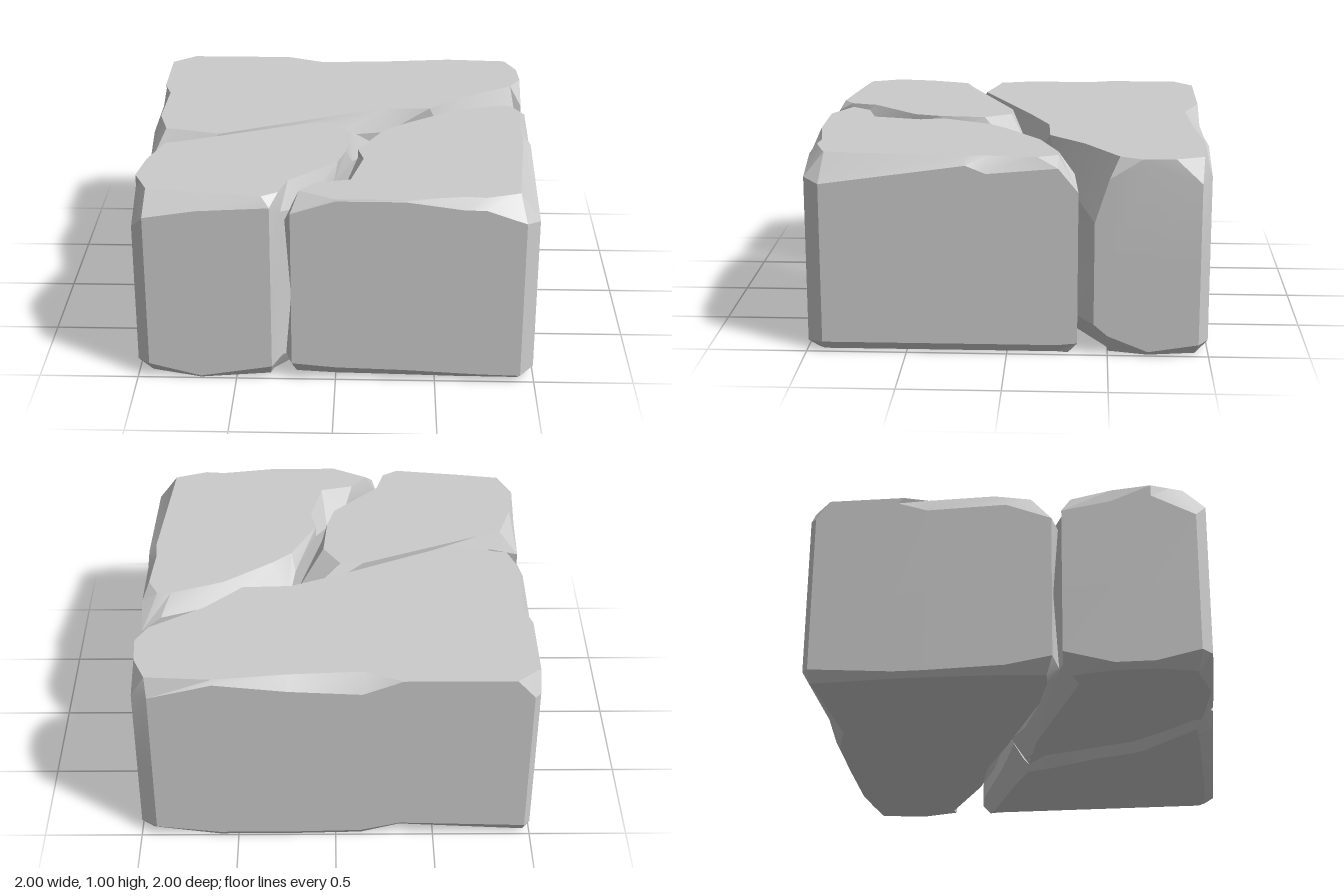
import * as THREE from 'three';
import { toCreasedNormals } from 'three/addons/utils/BufferGeometryUtils.js';

// Each corner: top x, top z, side x, side z, height where the top bevel starts,
// height where the bottom bevel ends, inset of the bottom outline.
// Corners run clockwise seen from above.
const BACK = [
  [-1, -.9, -1, -.97, .9, .06, .04],
  [-.88, -1, -.97, -1, .9, .06, .04],
  [-.33, -1, -.33, -1, .97, .08, .08],
  [-.13, -.92, -.13, -1, .92, .03, .02],
  [.24, -.94, .24, -1, .94, .02, .01],
  [.6, -.98, .6, -1, .98, .02, .01],
  [.93, -.96, .92, -1, .9, .06, .06],
  [.99, -.82, 1, -.95, .88, .06, .06],
  [1, -.66, 1, -.7, .97, .02, .02],
  [.94, -.55, 1, -.5, .9, .1, .07],
  [.67, -.38, 1, -.43, .68, .16, .12],
  [.48, -.2, .55, -.23, .85, .12, .08],
  [.23, -.19, .25, -.15, .88, .12, .08],
  [-.04, -.08, -.04, -.04, .9, .1, .06],
  [-.63, .19, -.6, .18, .94, .08, .05],
  [-.86, .13, -.84, .25, .86, .08, .06],
  [-.92, .12, -1, .23, .84, .08, .06],
  [-.97, -.06, -1, 0, .93, .04, .03],
  [-.96, -.4, -1, -.4, .92, .03, .02],
  [-1, -.52, -1, -.55, .97, .03, .02],
];

const LEFT = [
  [-.9, .32, -1, .28, .88, .1, .08],
  [-.78, .28, -.85, .27, .92, .1, .08],
  [-.15, .02, -.12, .01, .94, .08, .06],
  [-.03, .02, .2, -.1, .82, .15, .1],
  [.06, .16, .2, 0, .84, .12, .08],
  [.04, .4, .07, .35, .92, .08, .06],
  [0, .54, -.02, .6, .9, .07, .05],
  [-.24, .78, -.15, .78, .86, .08, .05],
  [-.28, .92, -.27, .93, .9, .1, .06],
  [-.36, .97, -.32, 1, .95, .07, .06],
  [-.7, .925, -.68, 1, .93, .012, .01],
  [-.93, .89, -.94, 1, .89, .08, .08],
  [-.96, .82, -1, .95, .82, .08, .08],
  [-1, .73, -1, .73, .94, .03, .03],
  [-.97, .53, -1, .53, .92, .03, .03],
];

const RIGHT = [
  [.33, .03, .25, -.09, .8, .14, .1],
  [.58, -.15, .5, -.18, .9, .1, .07],
  [.85, -.25, .9, -.33, .9, .08, .06],
  [.92, -.25, 1, -.35, .83, .06, .06],
  [.97, -.15, 1, -.25, .95, .05, .05],
  [.95, .1, 1, .1, .92, .05, .05],
  [.96, .2, 1, .2, .96, .05, .05],
  [.9, .9, 1, .92, .86, .05, .05],
  [.88, .91, .93, 1, .88, .035, .05],
  [.73, .96, .73, 1, .95, .04, .05],
  [.63, .95, .63, 1, .95, .045, .05],
  [.34, .995, .34, 1, .99, .06, .06],
  [0, .995, 0, 1, .99, .07, .07],
  [-.18, .9, -.22, 1, .92, .09, .09],
  [-.1, .8, -.25, .94, .86, .12, .1],
  [.07, .76, -.06, .72, .9, .08, .06],
  [.13, .5, .04, .56, .88, .08, .06],
  [.1, .38, .1, .36, .95, .08, .06],
  [.23, .12, .21, .06, .92, .1, .08],
];

// Moves a corner of the side outline inward along its averaged normal.
function inset(rows, i, d) {
  const n = rows.length, p = rows[(i + n - 1) % n], q = rows[(i + 1) % n];
  const dx = q[2] - p[2], dz = q[3] - p[3], len = Math.hypot(dx, dz);
  return [rows[i][2] - (dz / len) * d, rows[i][3] + (dx / len) * d];
}

// Lofts bevelled rings from the ground to the flat top and caps both ends.
function stone(name, rows) {
  const n = rows.length, rings = [[], [], [], [], []], index = [];
  rows.forEach(([tx, tz, mx, mz, high, low, d], i) => {
    const [bx, bz] = inset(rows, i, d);
    // Only the broken faces inside the block are uneven
    const inner = Math.abs(mx) < .98 && Math.abs(mz) < .98;
    const [wx, wz] = inset(rows, i, inner ? .025 + .025 * Math.sin(i * 2.3) : 0);
    rings[0].push([bx, 0, bz]);
    rings[1].push([mx, low, mz]);
    rings[2].push([wx, .45 + (inner ? .12 * Math.sin(i * 1.7) : 0), wz]);
    rings[3].push([mx, high, mz]);
    rings[4].push([tx, 1, tz]);
  });
  for (let r = 0; r < 4; r++) {
    for (let i = 0; i < n; i++) {
      const a = r * n + i, b = r * n + (i + 1) % n;
      index.push(a, a + n, b, b, a + n, b + n);
    }
  }
  for (const [r, up] of [[0, false], [4, true]]) {
    const pts = rings[r].map(([x, , z]) => new THREE.Vector2(x, z));
    for (const [a, b, c] of THREE.ShapeUtils.triangulateShape(pts, [])) {
      const facesUp = THREE.ShapeUtils.area([pts[a], pts[b], pts[c]]) < 0;
      const tri = facesUp === up ? [a, b, c] : [a, c, b];
      index.push(...tri.map((k) => k + r * n));
    }
  }
  const geo = new THREE.BufferGeometry();
  geo.setAttribute('position', new THREE.Float32BufferAttribute(rings.flat(2), 3));
  geo.setIndex(index);
  const mesh = new THREE.Mesh(
    toCreasedNormals(geo, .35),
    new THREE.MeshStandardMaterial({ color: 0xcccccc })
  );
  mesh.name = name;
  return mesh;
}

export function createModel() {
  const group = new THREE.Group();
  group.name = 'crackedStoneBlock';
  group.add(stone('backStone', BACK), stone('frontLeftStone', LEFT), stone('frontRightStone', RIGHT));
  return group;
}
